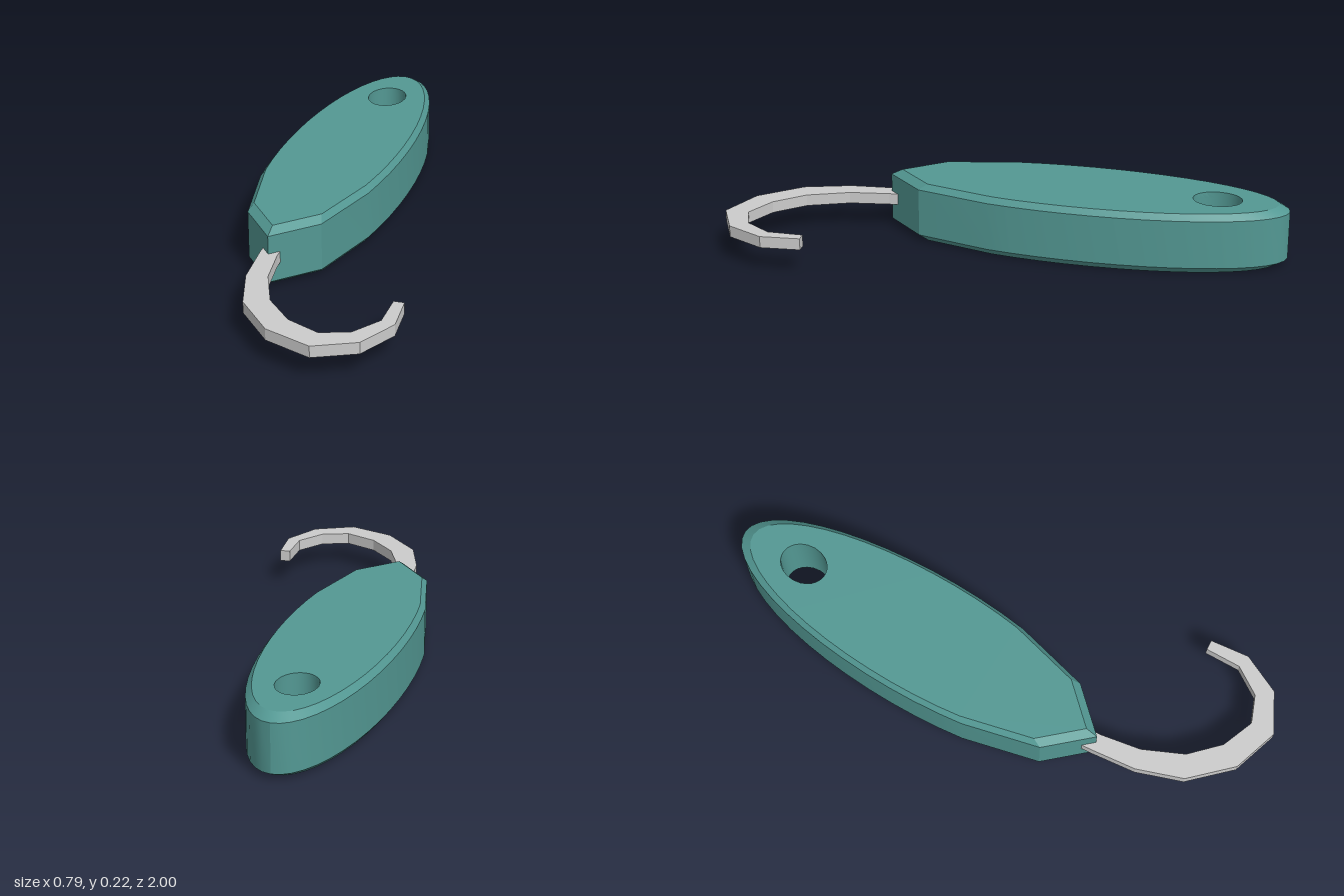
import * as THREE from 'three';
import { toCreasedNormals } from 'three/addons/utils/BufferGeometryUtils.js';

const CX = -0.168; // centre line of the handle
const STRETCH = 2.5; // lengthwise stretch, makes the bevel longer at the ends
const HOLE = { z: -0.742, rx: 0.072, rz: 0.088 };

// Leaf-shaped bevelled body with a straight hole near the tail
function handleGeometry() {
  const angles = [-90, -53, -25];
  for (let i = 1; i <= 30; i++) angles.push(-25 + (230 * i) / 30);
  angles.push(233);
  const outline = angles.map((deg) => {
    const a = THREE.MathUtils.degToRad(deg);
    return new THREE.Vector2(0.228 * Math.cos(a), (0.26 + 0.74 * Math.sin(a)) / STRETCH);
  });
  const shape = new THREE.Shape(outline);
  const hole = new THREE.Path();
  hole.absellipse(0, -HOLE.z / STRETCH, HOLE.rx, HOLE.rz / STRETCH, 0, Math.PI * 2, true);
  shape.holes.push(hole);

  const geo = new THREE.ExtrudeGeometry(shape, {
    depth: 0.176, curveSegments: 14, bevelSegments: 1,
    bevelThickness: 0.022, bevelSize: 0.016, bevelOffset: -0.016,
  });
  geo.rotateX(-Math.PI / 2);
  geo.scale(1, 1, STRETCH);
  geo.translate(0, 0.022, 0);

  // Pull the hole's rim back to a straight wall so only the outside is bevelled
  const p = geo.attributes.position;
  for (let i = 0; i < p.count; i++) {
    const u = p.getX(i) / HOLE.rx;
    const v = (p.getZ(i) - HOLE.z) / HOLE.rz;
    const r = Math.hypot(u, v);
    if (r < 1.8) {
      p.setX(i, (u / r) * HOLE.rx);
      p.setZ(i, HOLE.z + (v / r) * HOLE.rz);
    }
  }
  geo.translate(CX, 0, 0);
  return toCreasedNormals(geo, 0.4);
}

// Flat faceted hook, tapering to its tip; points are [x, z]
function hookGeometry() {
  const outer = [[-0.205, 0.42], [-0.2, 0.48], [-0.18, 0.645], [-0.12, 0.81], [0.015, 0.945],
    [0.185, 0.997], [0.325, 0.922], [0.392, 0.78], [0.375, 0.637]];
  const inner = [[-0.14, 0.42], [-0.135, 0.48], [-0.108, 0.625], [-0.04, 0.77], [0.06, 0.865],
    [0.18, 0.91], [0.278, 0.87], [0.342, 0.77], [0.338, 0.64]];
  const pts = [...outer, ...inner.reverse()].map(([x, z]) => new THREE.Vector2(x, -z));
  const geo = new THREE.ExtrudeGeometry(new THREE.Shape(pts), { depth: 0.042, bevelEnabled: false });
  geo.rotateX(-Math.PI / 2);
  geo.translate(0, 0.089, 0);
  return geo;
}

export function createModel() {
  const group = new THREE.Group();
  const add = (name, geometry, color, flatShading) => {
    const mesh = new THREE.Mesh(geometry, new THREE.MeshStandardMaterial({ color, flatShading }));
    mesh.name = name;
    group.add(mesh);
  };
  add('handle', handleGeometry(), 0x539893, false);
  add('hook', hookGeometry(), 0xcccccc, true);
  return group;
}
